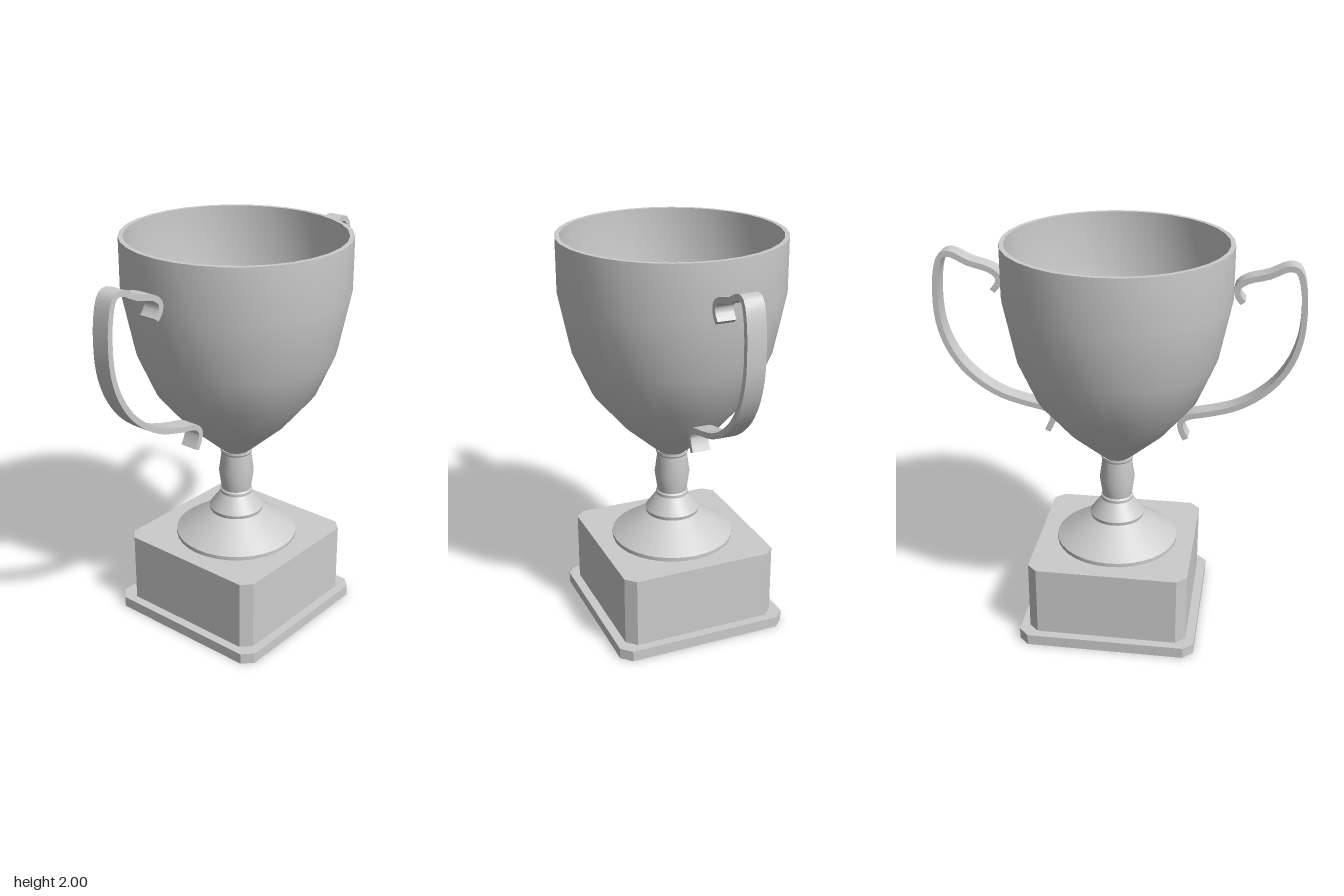
import * as THREE from 'three';
import { toCreasedNormals } from 'three/addons/utils/BufferGeometryUtils.js';

const silver = new THREE.MeshStandardMaterial({ color: 0xcccccc });
silver.name = 'silver';

function part(name, geometry) {
  const mesh = new THREE.Mesh(geometry, silver);
  mesh.name = name;
  return mesh;
}

const points = (pairs) => pairs.map(([x, y]) => new THREE.Vector2(x, y));

// Turned part; creases stay sharp above the given angle
function turned(name, profile, crease = 0.55) {
  return part(name, toCreasedNormals(new THREE.LatheGeometry(points(profile), 32), crease));
}

// Square block with cut corners
function block(name, half, cut, bottom, top) {
  const h = half, c = half - cut;
  const shape = new THREE.Shape(points([
    [c, -h], [h, -c], [h, c], [c, h], [-c, h], [-h, c], [-h, -c], [-c, -h],
  ]));
  const geometry = new THREE.ExtrudeGeometry(shape, { depth: top - bottom, bevelEnabled: false });
  geometry.rotateX(-Math.PI / 2).translate(0, bottom, 0);
  return part(name, geometry);
}

// Flat strap bent along a curve, mirrored by side
function handle(name, side) {
  const path = new THREE.CatmullRomCurve3([
    [0.596, 1.742], [0.57, 1.775], [0.568, 1.815], [0.61, 1.848], [0.71, 1.876], [0.80, 1.916],
    [0.84, 1.905], [0.868, 1.83], [0.88, 1.7], [0.872, 1.57], [0.835, 1.45], [0.765, 1.34],
    [0.67, 1.255], [0.57, 1.2], [0.45, 1.165], [0.345, 1.138], [0.318, 1.105], [0.325, 1.065],
    [0.346, 1.022],
  ].map(([x, y]) => new THREE.Vector3(x * side, y, 0)), false, 'centripetal');
  const outer = [], inner = [], steps = 54, t = 0.014;
  for (let i = 0; i <= steps; i++) {
    const p = path.getPoint(i / steps), d = path.getTangent(i / steps);
    outer.push(new THREE.Vector2(p.x - d.y * t, p.y + d.x * t));
    inner.unshift(new THREE.Vector2(p.x + d.y * t, p.y - d.x * t));
  }
  const shape = new THREE.Shape([...outer, ...inner]);
  const geometry = new THREE.ExtrudeGeometry(shape, { depth: 0.09, bevelEnabled: false });
  geometry.translate(0, 0, -0.045);
  return part(name, toCreasedNormals(geometry, 0.7));
}

export function createModel() {
  const group = new THREE.Group();
  group.name = 'trophyCup';

  // Plinth
  group.add(block('plinthFoot', 0.445, 0.05, 0, 0.055));
  group.add(block('plinth', 0.4, 0.048, 0.055, 0.415));

  // Foot and stem
  group.add(turned('foot', [
    [0.31, 0.415], [0.31, 0.435], [0.235, 0.485], [0.135, 0.552],
  ]));
  group.add(turned('collar', [
    [0.135, 0.552], [0.138, 0.57], [0.12, 0.595], [0.08, 0.65],
  ]));
  group.add(turned('stem', [
    [0.07, 0.645], [0.082, 0.65], [0.082, 0.665], [0.075, 0.672], [0.089, 0.77],
    [0.075, 0.872], [0.08, 0.88], [0.08, 0.895],
  ]));

  // Hollow bowl with a flat rim
  group.add(turned('bowlOutside', [
    [0.07, 0.89], [0.25, 1.05], [0.4, 1.23], [0.49, 1.44], [0.55, 1.74], [0.55, 2],
  ], 0.7));
  group.add(turned('bowlRim', [[0.55, 2], [0.527, 2]]));
  group.add(turned('bowlInside', [
    [0.527, 2], [0.527, 1.745], [0.468, 1.45], [0.38, 1.245], [0.235, 1.07], [0.06, 0.915],
  ], 0.7));
  group.add(turned('bowlFloor', [[0.06, 0.915], [0, 0.915]]));

  // Handles
  group.add(handle('leftHandle', 1), handle('rightHandle', -1));

  return group;
}
